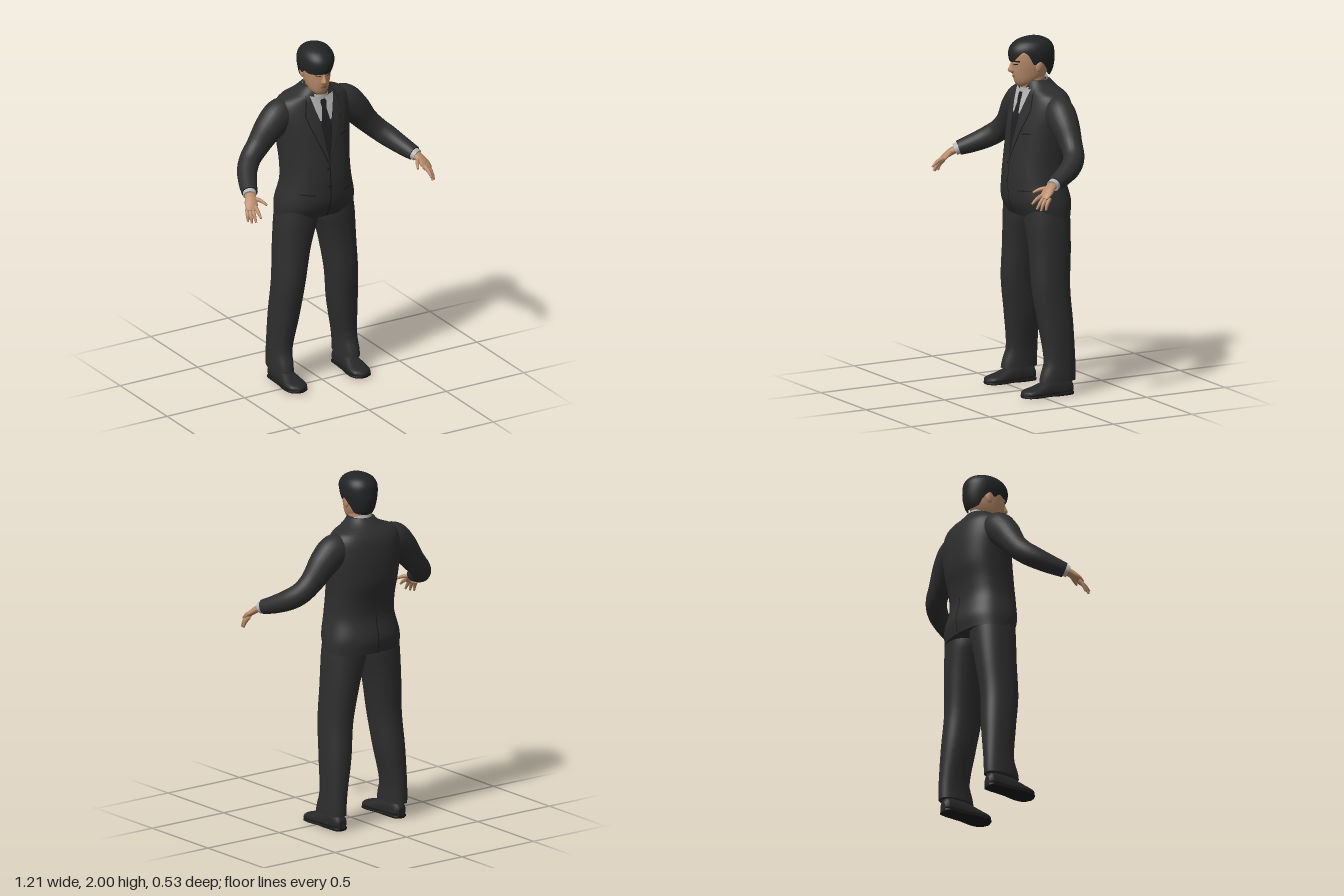
import * as THREE from 'three';

const material = (name, color, side = THREE.FrontSide) => {
  const m = new THREE.MeshStandardMaterial({ color, side });
  m.name = name;
  return m;
};

// Cubic interpolation of table rows; the first column is the position.
function interp(rows, p) {
  const last = rows.length - 1;
  const q = Math.min(Math.max(p, rows[0][0]), rows[last][0]);
  let i = 0;
  while (i < last - 1 && q > rows[i + 1][0]) i++;
  const h = rows[i + 1][0] - rows[i][0], t = (q - rows[i][0]) / h;
  const slope = (k, c) => {
    const a = rows[Math.max(k - 1, 0)], b = rows[Math.min(k + 1, last)];
    return (b[c] - a[c]) / (b[0] - a[0]) * h;
  };
  return rows[i].map((v, c) => {
    const w = rows[i + 1][c], d = w - v, m0 = slope(i, c), m1 = slope(i + 1, c);
    return v + t * (m0 + t * (3 * d - 2 * m0 - m1 + t * (m0 + m1 - 2 * d)));
  });
}

// Skin a grid of points, optionally wrapped around and capped.
function grid(rings, wrap, cap) {
  const seg = rings[0].length, pos = rings.flat(2), idx = [];
  for (let i = 0; i < rings.length - 1; i++) for (let j = 0; j < (wrap ? seg : seg - 1); j++) {
    const k = (j + 1) % seg, a = i * seg + j, b = i * seg + k;
    idx.push(a, b, b + seg, a, b + seg, a + seg);
  }
  if (cap) for (const end of [false, true]) {
    const ring = rings[end ? rings.length - 1 : 0], base = pos.length / 3;
    pos.push(...ring.flat(), ...[0, 1, 2].map(c => ring.reduce((s, p) => s + p[c], 0) / seg));
    for (let j = 0; j < seg; j++) {
      const a = base + j, b = base + (j + 1) % seg;
      idx.push(base + seg, ...(end ? [a, b] : [b, a]));
    }
  }
  const g = new THREE.BufferGeometry();
  g.setAttribute('position', new THREE.Float32BufferAttribute(pos, 3));
  g.setIndex(idx);
  g.computeVertexNormals();
  return g;
}

// Vertical loft; rows are [y, centreX, halfWidth, centreZ, frontZ, backZ].
function loft(rows, y0, y1, n, { seg = 40, e = 2, cap = true } = {}) {
  const at = (y, phi) => typeof y === 'function' ? y(phi) : y;
  const pw = v => Math.sign(v) * Math.pow(Math.abs(v), 2 / e);
  const rings = [];
  for (let i = 0; i <= n; i++) rings.push(Array.from({ length: seg }, (_, j) => {
    const phi = j / seg * Math.PI * 2, s = cap ? i / n : Math.sin(i / n * Math.PI / 2);
    const y = THREE.MathUtils.lerp(at(y0, phi), at(y1, phi), s);
    const [, cx, hw, cz, f, b] = interp(rows, y), c = pw(Math.cos(phi));
    return [cx + hw * pw(Math.sin(phi)), y, cz + (c > 0 ? f - cz : cz - b) * c];
  }));
  return grid(rings, true, cap);
}

// Thin plate lying on a loft; edges run bottom to top, a on the smaller x.
function patch(rows, e, a, b, off, side = 1) {
  const rings = [], n = 6, m = 6;
  const edge = (l, u) => {
    const i = Math.min(Math.floor(u), l.length - 2), t = u - i;
    return [0, 1].map(c => l[i][c] + (l[i + 1][c] - l[i][c]) * t);
  };
  for (let k = 0; k <= n * (a.length - 1); k++) {
    const p = edge(a, k / n), q = edge(b, k / n), ring = [];
    for (let j = 0; j <= m; j++) {
      const x = p[0] + (q[0] - p[0]) * j / m, y = p[1] + (q[1] - p[1]) * j / m;
      const [, cx, hw, cz, f, bk] = interp(rows, y);
      const r = Math.pow(Math.max(0, 1 - Math.pow(Math.abs((x - cx) / hw), e)), 1 / e);
      ring.push([x, y, cz + ((side > 0 ? f : bk) - cz) * r + off * side]);
    }
    rings.push(side > 0 ? ring : ring.reverse());
  }
  return grid(rings, false, false);
}

// Limb along a smooth path; points are [x, y, z, sideRadius, upRadius].
function limb(pts, n = 30, seg = 20) {
  const curve = new THREE.CatmullRomCurve3(pts.map(p => new THREE.Vector3(p[0], p[1], p[2])));
  const radii = pts.map((p, i) => [i / (pts.length - 1), p[3], p[4] ?? p[3]]);
  const rings = [], up = new THREE.Vector3(0, 1, 0);
  for (let i = 0; i <= n; i++) {
    const c = curve.getPoint(i / n), t = curve.getTangent(i / n);
    const s = t.clone().cross(up).normalize(), u = s.clone().cross(t);
    const [, rs, ru] = interp(radii, i / n);
    rings.push(Array.from({ length: seg }, (_, j) => {
      const a = -j / seg * Math.PI * 2;
      return c.clone().addScaledVector(s, rs * Math.cos(a)).addScaledVector(u, ru * Math.sin(a)).toArray();
    }));
  }
  return grid(rings, true, true);
}

function mirrored(geo) {
  const g = geo.clone().scale(-1, 1, 1), ix = g.index;
  for (let i = 0; i < ix.count; i += 3) {
    const b = ix.getX(i + 1);
    ix.setX(i + 1, ix.getX(i + 2));
    ix.setX(i + 2, b);
  }
  return g;
}

export function createModel() {
  const model = new THREE.Group();
  model.name = 'suitedMan';
  const suit = material('charcoal suit', 0x2e2e2e), seam = material('dark seam', 0x191919);
  const shirt = material('grey white shirt', 0xb4b4b4, THREE.DoubleSide), tie = material('black tie', 0x202022);
  const skin = material('skin', 0xb98c6a), lip = material('lips', 0x8d5f4a);
  const hairMat = material('black hair', 0x222324, THREE.DoubleSide);
  const shoeMat = material('shoe leather', 0x272727), soleMat = material('shoe sole', 0x191919);
  const add = (name, geo, mat, parent = model) => {
    const m = new THREE.Mesh(geo, mat);
    m.name = name;
    parent.add(m);
  };
  const pair = (name, geo, mat, parent = model) => {
    add(name + 'Left', geo, mat, parent);
    add(name + 'Right', mirrored(geo), mat, parent);
  };

  // Jacket body
  const torso = [
    [1.00, 0, .232, -.10, .045, -.24], [1.08, 0, .23, -.09, .085, -.25], [1.20, 0, .204, -.08, .093, -.225],
    [1.30, 0, .199, -.09, .085, -.235], [1.40, 0, .205, -.10, .07, -.26], [1.50, 0, .215, -.11, .053, -.265],
    [1.58, 0, .222, -.11, .032, -.26], [1.65, 0, .214, -.11, .01, -.245], [1.69, 0, .185, -.11, -.003, -.22],
    [1.71, 0, .13, -.10, -.006, -.20], [1.735, 0, .088, -.09, -.01, -.178], [1.755, 0, .074, -.08, -.02, -.16]];
  const E = 2.3;
  add('jacketBody', loft(torso, 1.0, 1.755, 48, { seg: 56, e: E }), suit);
  const onTorso = (a, b, off, side) => patch(torso, E, a, b, off, side);
  const inner = [[.001, 1.33], [.036, 1.55], [.052, 1.62], [.072, 1.71]];
  const outer = [[.004, 1.33], [.095, 1.55], [.112, 1.61], [.088, 1.715]];
  pair('lapelEdge', onTorso(inner, outer.map(([x, y]) => [x + .005, y]), .004), seam);
  pair('lapel', onTorso(inner, outer, .008), suit);
  add('frontOpening', onTorso([[-.003, 1.005], [-.003, 1.33]], [[.003, 1.005], [.003, 1.33]], .003), seam);
  add('backVent', onTorso([[-.003, 1.005], [-.003, 1.22]], [[.003, 1.005], [.003, 1.22]], .003, -1), seam);
  pair('pocketSlit', onTorso([[.09, 1.15], [.09, 1.156]], [[.17, 1.158], [.17, 1.164]], .003), seam);
  add('breastPocket', onTorso([[.085, 1.465], [.085, 1.472]], [[.14, 1.475], [.14, 1.482]], .003), seam);
  for (const y of [1.19, 1.29])
    add('jacketButton', onTorso([[-.018, y], [-.018, y + .014]], [[-.005, y], [-.005, y + .014]], .005), seam);

  // Shirt collar and tie
  const collar = [[1.64, 0, .076, -.075, .008, -.165], [1.70, 0, .073, -.075, .008, -.16], [1.78, 0, .064, -.07, .0, -.145]];
  add('shirtCollar', loft(collar, 1.64, p => 1.745 - .03 * Math.cos(p), 8, { cap: false }), shirt);
  pair('collarWing', onTorso([[.026, 1.575], [.014, 1.64], [.014, 1.70]], [[.036, 1.575], [.056, 1.64], [.074, 1.715]], .011), shirt);
  add('tieBlade', onTorso([[-.003, 1.33], [-.032, 1.54], [-.012, 1.65]], [[.003, 1.33], [.032, 1.54], [.012, 1.65]], .006), tie);
  add('tieKnot', onTorso([[-.012, 1.635], [-.02, 1.675], [-.014, 1.69]], [[.012, 1.635], [.02, 1.675], [.014, 1.69]], .015), tie);

  // Sleeves, cuffs and hands
  pair('sleeve', limb([[.13, 1.60, -.12, .07, .075], [.2, 1.595, -.115, .083, .094], [.27, 1.54, -.11, .08, .086],
    [.35, 1.445, -.105, .063, .068], [.41, 1.385, -.088, .059, .062], [.455, 1.345, -.045, .057, .06],
    [.50, 1.305, .035, .051, .051], [.53, 1.28, .105, .045, .041]], 40, 24), suit);
  pair('shirtCuff', limb([[.524, 1.286, .09, .037, .034], [.54, 1.271, .122, .037, .033]], 3), shirt);
  pair('palm', limb([[.53, 1.28, .105, .027, .023], [.545, 1.262, .14, .032, .02],
    [.56, 1.236, .172, .036, .016], [.568, 1.212, .196, .029, .01]], 14), skin);
  const fingers = {
    index: [[.545, 1.232, .18], [.55, 1.213, .226], [.55, 1.185, .26]],
    middle: [[.56, 1.222, .182], [.568, 1.194, .215], [.57, 1.158, .241]],
    ring: [[.573, 1.217, .176], [.584, 1.187, .206], [.588, 1.15, .224]],
    little: [[.583, 1.215, .165], [.593, 1.185, .187], [.597, 1.152, .198]],
    thumb: [[.532, 1.262, .145], [.506, 1.253, .182], [.488, 1.235, .218]]
  };
  for (const [name, p] of Object.entries(fingers))
    pair(name + 'Finger', limb(p.map((q, i) => [...q, [.012, .0105, .006][i]]), 10, 10), skin);

  // Trousers
  const leg = [
    [.085, .213, .058, -.10, .012, -.205], [.12, .213, .059, -.10, .005, -.206], [.20, .209, .061, -.11, -.02, -.205],
    [.40, .188, .078, -.10, .002, -.20], [.60, .17, .085, -.08, .03, -.19], [.80, .147, .098, -.085, .032, -.204],
    [.90, .131, .109, -.085, .036, -.21], [.97, .118, .118, -.085, .04, -.213], [1.06, .112, .112, -.085, .04, -.215]];
  pair('trouserLeg', loft(leg, .085, 1.06, 40, { e: 2.25 }), suit);

  // Shoes: lofted upright, then laid forward
  const shoe = [
    [-.192, .207, .02, -.04, -.012, -.06], [-.18, .207, .037, -.035, -.012, -.085], [-.10, .207, .044, -.03, -.012, -.10],
    [-.03, .206, .052, -.03, -.012, -.09], [.04, .205, .061, -.03, -.012, -.063], [.09, .204, .054, -.028, -.012, -.05],
    [.112, .204, .035, -.025, -.012, -.042], [.12, .204, .012, -.022, -.014, -.03]];
  const sole = shoe.map(([z, x, w]) => [z, x, w + .003, -.01, z < -.07 ? 0 : -.006, -.02]);
  pair('shoeUpper', loft(shoe, -.192, .12, 26, { e: 2.3 }).rotateX(Math.PI / 2), shoeMat);
  pair('shoeSole', loft(sole, -.192, .12, 26, { e: 4 }).rotateX(Math.PI / 2), soleMat);

  // Neck
  const neck = [[1.62, 0, .06, -.07, -.015, -.14], [1.72, 0, .055, -.07, -.002, -.132], [1.80, 0, .054, -.07, .0, -.13]];
  add('neck', loft(neck, 1.62, 1.80, 8), skin);

  // Head, turned slightly to its right
  const head = new THREE.Group();
  head.name = 'head';
  head.position.set(-.004, 0, -.06);
  head.rotation.y = -.15;
  model.add(head);
  const skull = [
    [1.722, 0, .025, .045, .08, -.01], [1.735, 0, .042, .035, .096, -.03], [1.76, 0, .057, .02, .107, -.06],
    [1.80, 0, .069, 0, .116, -.09], [1.84, 0, .075, 0, .119, -.108], [1.88, 0, .079, -.01, .122, -.113],
    [1.92, 0, .076, -.01, .112, -.108], [1.96, 0, .055, -.01, .075, -.08], [1.98, 0, .02, 0, .03, -.03]];
  add('face', loft(skull, 1.722, 1.98, 30), skin, head);
  const nose = [[1.797, 0, .011, .11, .122, .09], [1.81, 0, .018, .11, .142, .09], [1.82, 0, .015, .11, .143, .09],
    [1.845, 0, .009, .11, .131, .09], [1.868, 0, .008, .11, .123, .09]];
  add('nose', loft(nose, 1.797, 1.868, 12, { seg: 16 }), skin, head);
  pair('ear', new THREE.SphereGeometry(1, 16, 12).scale(.010, .031, .019).rotateX(-.2).translate(.079, 1.838, -.012), skin, head);
  const onFace = (a, b, off) => patch(skull, 2, a, b, off);
  pair('eye', onFace([[.018, 1.847], [.018, 1.850]], [[.044, 1.847], [.044, 1.853]], .002), seam, head);
  pair('eyebrow', onFace([[.013, 1.861], [.013, 1.867]], [[.052, 1.865], [.052, 1.871]], .003), seam, head);
  add('mouth', onFace([[-.022, 1.781], [-.022, 1.784]], [[.022, 1.781], [.022, 1.784]], .002), lip, head);
  add('lowerLip', onFace([[-.014, 1.774], [-.02, 1.781]], [[.014, 1.774], [.02, 1.781]], .003), lip, head);

  // Hair: a cap whose lower edge sweeps over the brow and round the ears
  const hair = [
    [1.77, 0, .07, -.01, .10, -.096], [1.80, 0, .081, -.01, .115, -.115], [1.85, 0, .093, -.01, .126, -.127],
    [1.90, 0, .100, -.01, .137, -.127], [1.94, 0, .096, -.01, .128, -.121], [1.97, 0, .078, -.01, .10, -.10],
    [1.985, 0, .056, -.01, .07, -.074], [1.995, 0, .03, -.01, .036, -.044], [2.0, 0, .002, -.01, -.008, -.012]];
  const hairline = [
    [-3.15, 1.775], [-2.2, 1.79], [-1.95, 1.83], [-1.6, 1.868], [-1.38, 1.845], [-1.15, 1.868], [-.9, 1.858], [-.3, 1.862],
    [.35, 1.866], [.6, 1.89], [.9, 1.922], [1.15, 1.9], [1.34, 1.85], [1.6, 1.868], [1.95, 1.83], [2.2, 1.79], [3.15, 1.775]];
  const edge = p => interp(hairline, p > Math.PI ? p - Math.PI * 2 : p)[1];
  add('hair', loft(hair, edge, 2.0, 26, { seg: 72, cap: false }), hairMat, head);
  return model;
}
